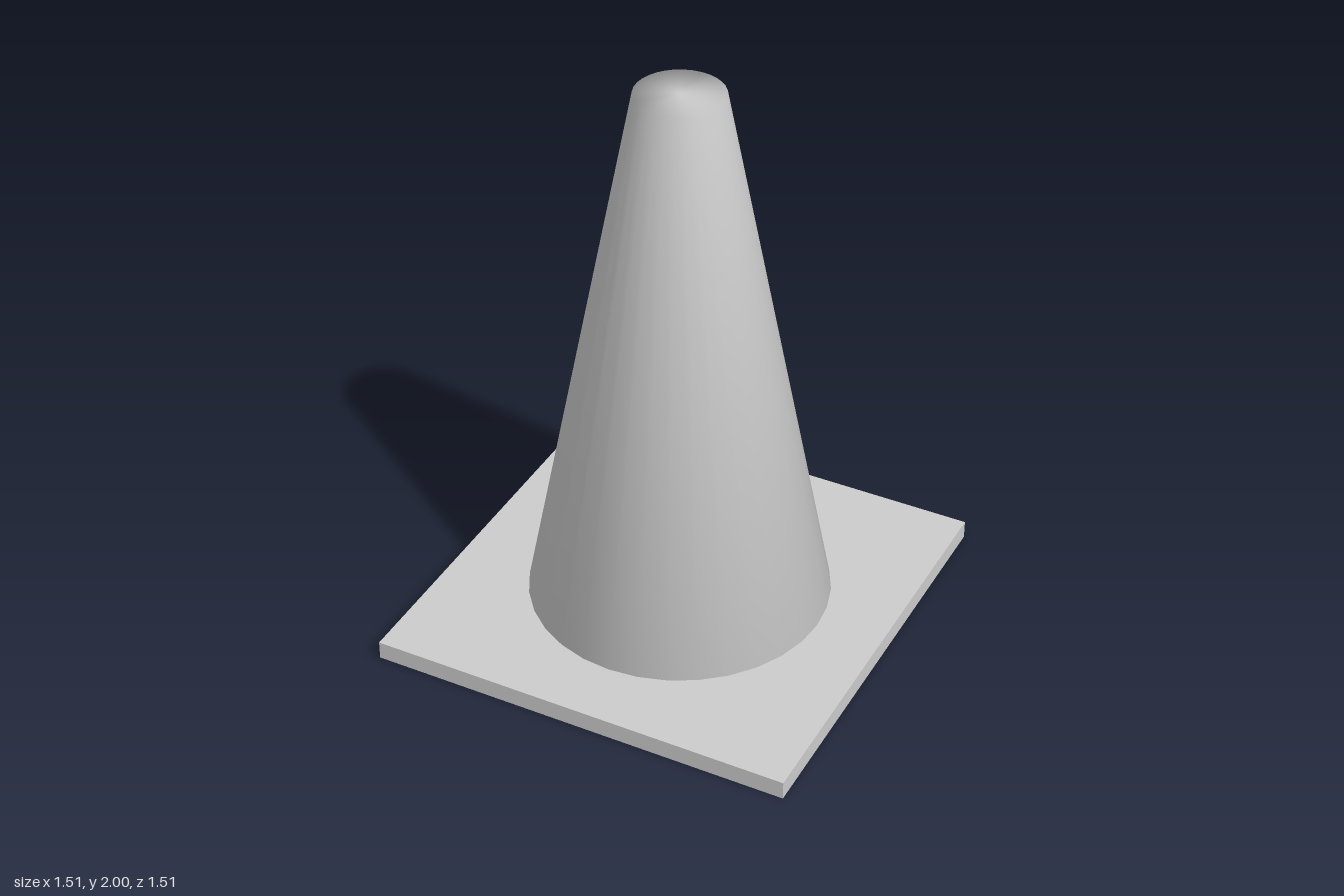
import * as THREE from 'three';

export function createModel() {
  const group = new THREE.Group();
  group.name = 'trafficCone';
  const material = new THREE.MeshStandardMaterial({ color: 0xcccccc });

  const plateSize = 1.507, plateHeight = 0.066;
  const bottomRadius = 0.523, topRadius = 0.149, height = 2;

  // Flat square foot
  const basePlate = new THREE.Mesh(
    new THREE.BoxGeometry(plateSize, plateHeight, plateSize), material);
  basePlate.name = 'basePlate';
  basePlate.position.y = plateHeight / 2;
  group.add(basePlate);

  // Closed tapering body, shaded smoothly over its rims
  const profile = [
    new THREE.Vector2(0, plateHeight),
    new THREE.Vector2(bottomRadius, plateHeight),
    new THREE.Vector2(topRadius, height),
    new THREE.Vector2(0, height),
  ];
  const coneBody = new THREE.Mesh(new THREE.LatheGeometry(profile, 32), material);
  coneBody.name = 'coneBody';
  group.add(coneBody);

  return group;
}
